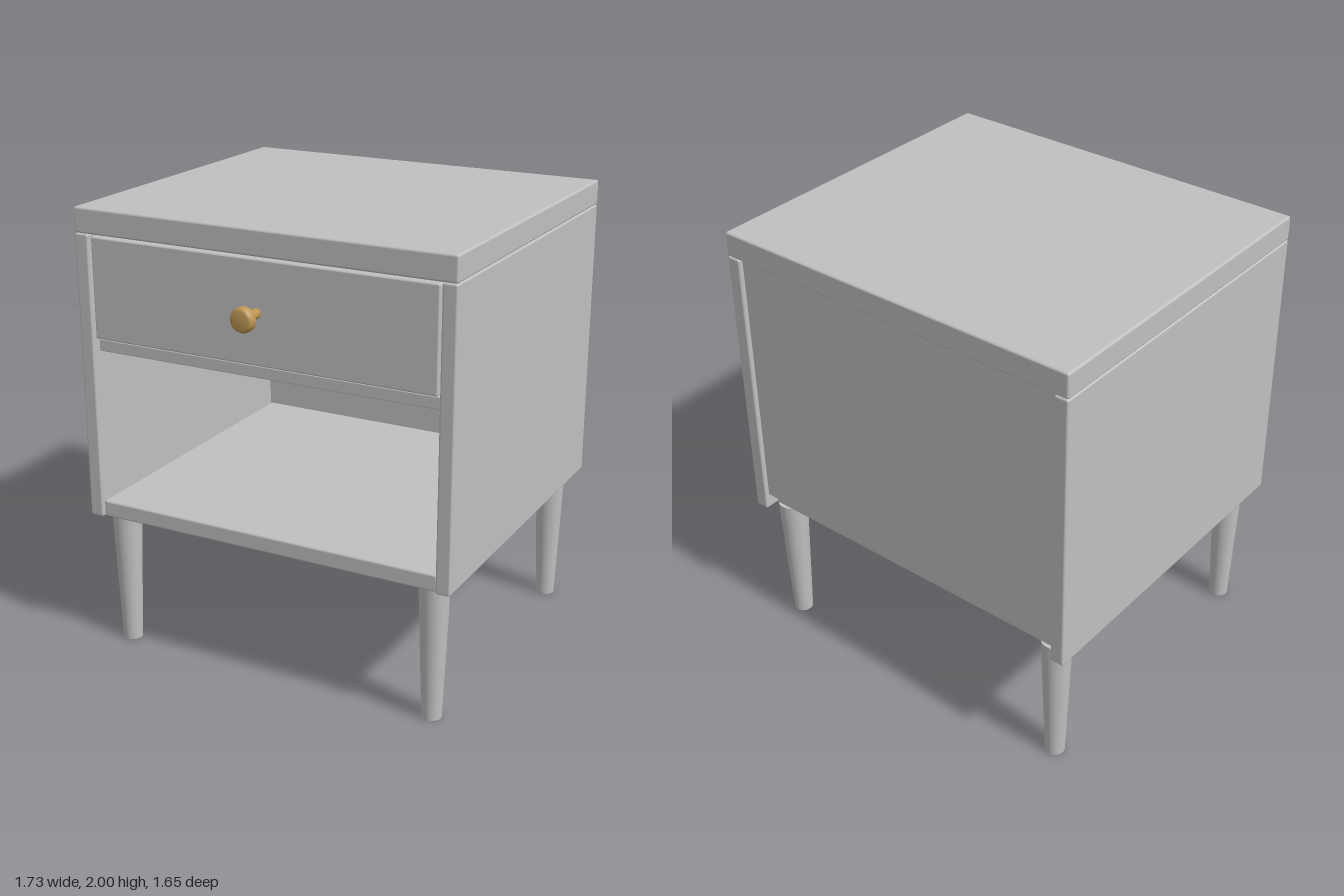
import * as THREE from 'three';
import { RoundedBoxGeometry } from 'three/addons/geometries/RoundedBoxGeometry.js';

export function createModel() {
  const model = new THREE.Group();
  model.name = 'nightstand';

  const grey = new THREE.MeshStandardMaterial({ color: 0xc0c0c0 });
  grey.name = 'grey board';
  const brass = new THREE.MeshStandardMaterial({ color: 0xbf9854 });
  brass.name = 'brass';

  // Board given by its extents, with softly rounded edges
  function board(name, [x0, x1], [y0, y1], [z0, z1], radius = 0.01) {
    const geometry = new RoundedBoxGeometry(x1 - x0, y1 - y0, z1 - z0, 2, radius);
    const mesh = new THREE.Mesh(geometry, grey);
    mesh.name = name;
    mesh.position.set((x0 + x1) / 2, (y0 + y1) / 2, (z0 + z1) / 2);
    model.add(mesh);
  }

  // Carcass
  board('top', [-0.865, 0.865], [1.89, 2], [-0.825, 0.71]);
  board('leftSide', [0.8, 0.865], [0.62, 1.89], [-0.825, 0.71]);
  board('rightSide', [-0.865, -0.8], [0.62, 1.89], [-0.825, 0.71]);
  board('bottom', [-0.802, 0.802], [0.62, 0.695], [-0.76, 0.695]);
  board('backPanel', [-0.802, 0.802], [0.69, 1.885], [-0.805, -0.75], 0.004);
  board('shelf', [-0.802, 0.802], [1.375, 1.427], [-0.76, 0.665], 0.004);

  // Drawer
  board('drawerFront', [-0.79, 0.79], [1.44, 1.88], [0.645, 0.703], 0.008);
  board('drawerBody', [-0.77, 0.77], [1.435, 1.83], [-0.7, 0.65], 0.004);

  // Knob, turned about its axis and pointing forward
  const profile = [
    [0, 0], [0.022, 0], [0.022, 0.065], [0.029, 0.07], [0.046, 0.087],
    [0.052, 0.092], [0.053, 0.112], [0.048, 0.123], [0.038, 0.13], [0, 0.131],
  ].map(([r, y]) => new THREE.Vector2(r, y));
  const knob = new THREE.Mesh(new THREE.LatheGeometry(profile, 32), brass);
  knob.name = 'knob';
  knob.rotation.x = Math.PI / 2;
  knob.position.set(0, 1.66, 0.698);
  model.add(knob);

  // Tapered legs
  const legGeometry = new THREE.CylinderGeometry(0.066, 0.043, 0.625, 32);
  for (const x of [-0.75, 0.75]) {
    for (const z of [-0.71, 0.6]) {
      const leg = new THREE.Mesh(legGeometry, grey);
      leg.name = (z > 0 ? 'front' : 'back') + (x > 0 ? 'Left' : 'Right') + 'Leg';
      leg.position.set(x, 0.3125, z);
      model.add(leg);
    }
  }

  return model;
}
